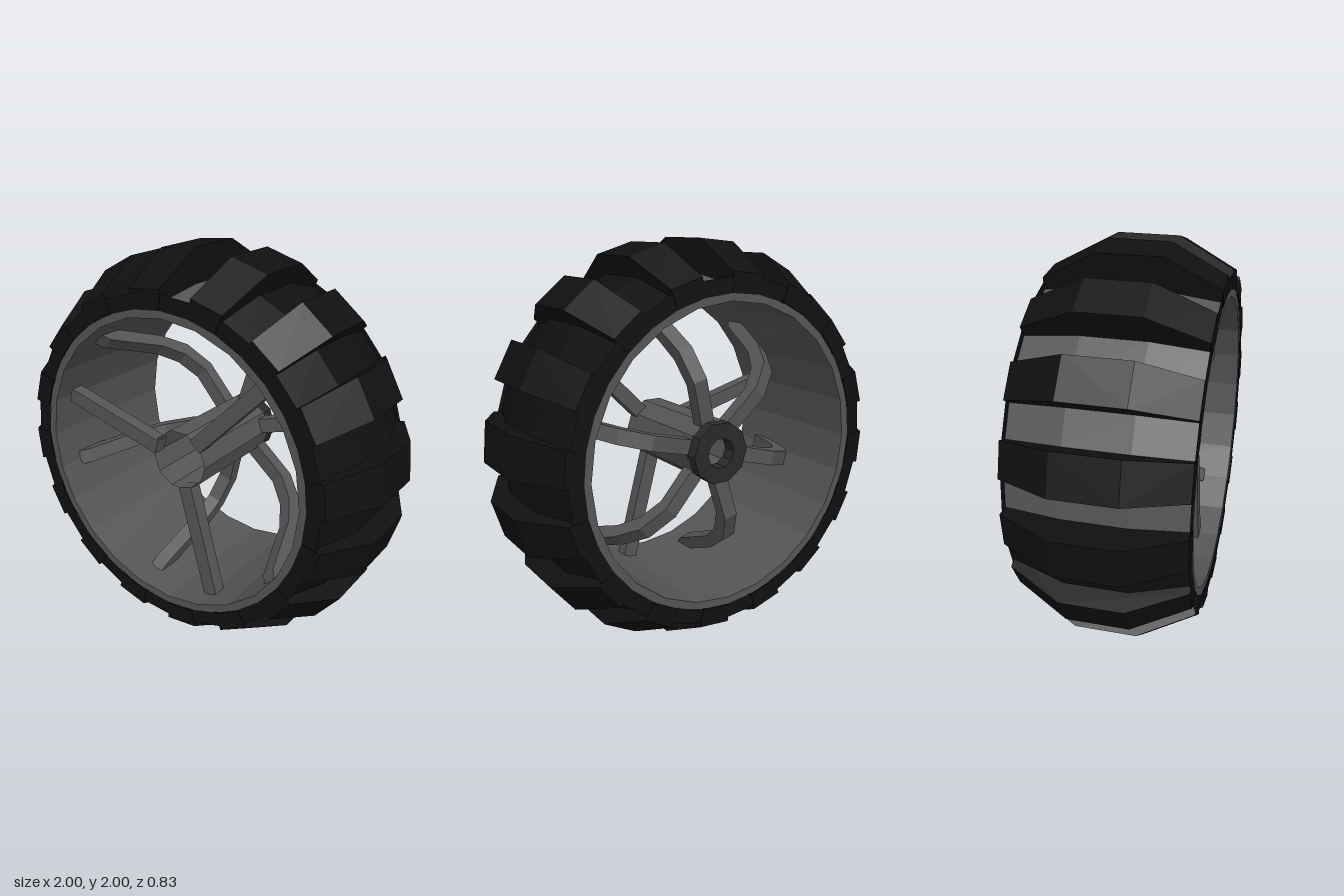
import * as THREE from 'three';
import { ConvexGeometry } from 'three/addons/geometries/ConvexGeometry.js';

const RAD = Math.PI / 180;
const STEP = 22.5; // one lug plus one groove, in degrees
const LUG = STEP / 2;

const material = (color) =>
  new THREE.MeshStandardMaterial({ color, flatShading: true, side: THREE.DoubleSide });
const rubber = material(0x101010);
const metal = material(0x555555);
const darkMetal = material(0x2a2a2a);

// Revolves an [r, z] profile around the z axis, from angle start (degrees from +x)
function revolve(profile, segments, start = 0, sweep = 360) {
  const points = profile.map(([r, z]) => new THREE.Vector2(r, z));
  return new THREE.LatheGeometry(points, segments, (start + 90) * RAD, sweep * RAD)
    .rotateX(Math.PI / 2);
}

// Wedge spanning two angles, with an [r, z] cross-section
function wedge(section, start, sweep) {
  const points = [start, start + sweep].flatMap((a) =>
    section.map(([r, z]) =>
      new THREE.Vector3(r * Math.cos(a * RAD), r * Math.sin(a * RAD), z)));
  return new ConvexGeometry(points);
}

// Closed outline in the [r, z] plane, extruded to a given width and laid along +x
function curvedBar(outline, width) {
  const shape = new THREE.Shape(outline.map(([r, z]) => new THREE.Vector2(r, z)));
  return new THREE.ExtrudeGeometry(shape, { depth: width, bevelEnabled: false })
    .translate(0, 0, -width / 2)
    .rotateX(Math.PI / 2);
}

export function createModel() {
  const model = new THREE.Group();
  model.name = 'wheel';
  const wheel = new THREE.Group();
  wheel.name = 'wheelAssembly';
  wheel.position.y = 1;
  model.add(wheel);

  const add = (name, geometry, mat, angle = 0) => {
    const mesh = new THREE.Mesh(geometry, mat);
    mesh.name = name;
    mesh.rotation.z = angle * RAD;
    wheel.add(mesh);
    return mesh;
  };

  // Rim barrel
  add('rim', revolve([
    [0.77, -0.41], [0.77, 0.41], [0.73, 0.41], [0.73, -0.41], [0.77, -0.41],
  ], 24), metal);

  // Tyre side walls
  for (const z of [-0.412, 0.412]) {
    add('tyreSidewall', revolve([[0.765, z], [0.84, z]], 32), rubber);
  }

  // Tread: lugs alternating with grooves; a few grooves are bare metal
  const lugSection = [
    [0.77, -0.415], [0.86, -0.415], [1, -0.15], [1, 0.15], [0.86, 0.415], [0.77, 0.415],
  ];
  const grooveProfile = [[0.82, -0.412], [0.9, -0.15], [0.9, 0.15], [0.82, 0.412]];
  const bareProfile = [[0.8, -0.412], [0.835, -0.15], [0.835, 0.15], [0.8, 0.412]];
  for (let i = 0; i < 16; i++) {
    const start = 90 + i * STEP;
    add('treadLug', wedge(lugSection, start, LUG), rubber);
    const bare = i === 15 || i < 4;
    add('treadGroove',
      revolve(bare ? bareProfile : grooveProfile, 1, start + LUG, LUG),
      bare ? metal : rubber);
  }

  // Hub tube, open at the front, with a dark collar at the back
  add('hub', revolve([[0.155, -0.28], [0.155, 0.3]], 10), metal);
  add('hubCollar', revolve([
    [0.075, -0.34], [0.155, -0.34], [0.155, -0.27], [0.075, -0.27], [0.075, -0.34],
  ], 10), darkMetal);

  // Straight spokes at the front
  const straight = new THREE.BoxGeometry(0.6, 0.075, 0.07).translate(0.44, 0, 0.27);
  for (const angle of [45, 165, 285]) add('frontSpoke', straight, metal, angle);

  // Bent spokes leaving the back of the hub and curving forward to the rim
  const bent = curvedBar([
    [0.13, -0.28], [0.37, -0.3], [0.52, -0.23], [0.62, -0.09], [0.735, 0.17],
    [0.735, 0.28], [0.69, 0.24], [0.56, -0.06], [0.47, -0.17], [0.35, -0.23], [0.13, -0.21],
  ], 0.075);
  for (const angle of [15, 75, 135, 195, 255, 315]) add('backSpoke', bent, metal, angle);

  return model;
}
